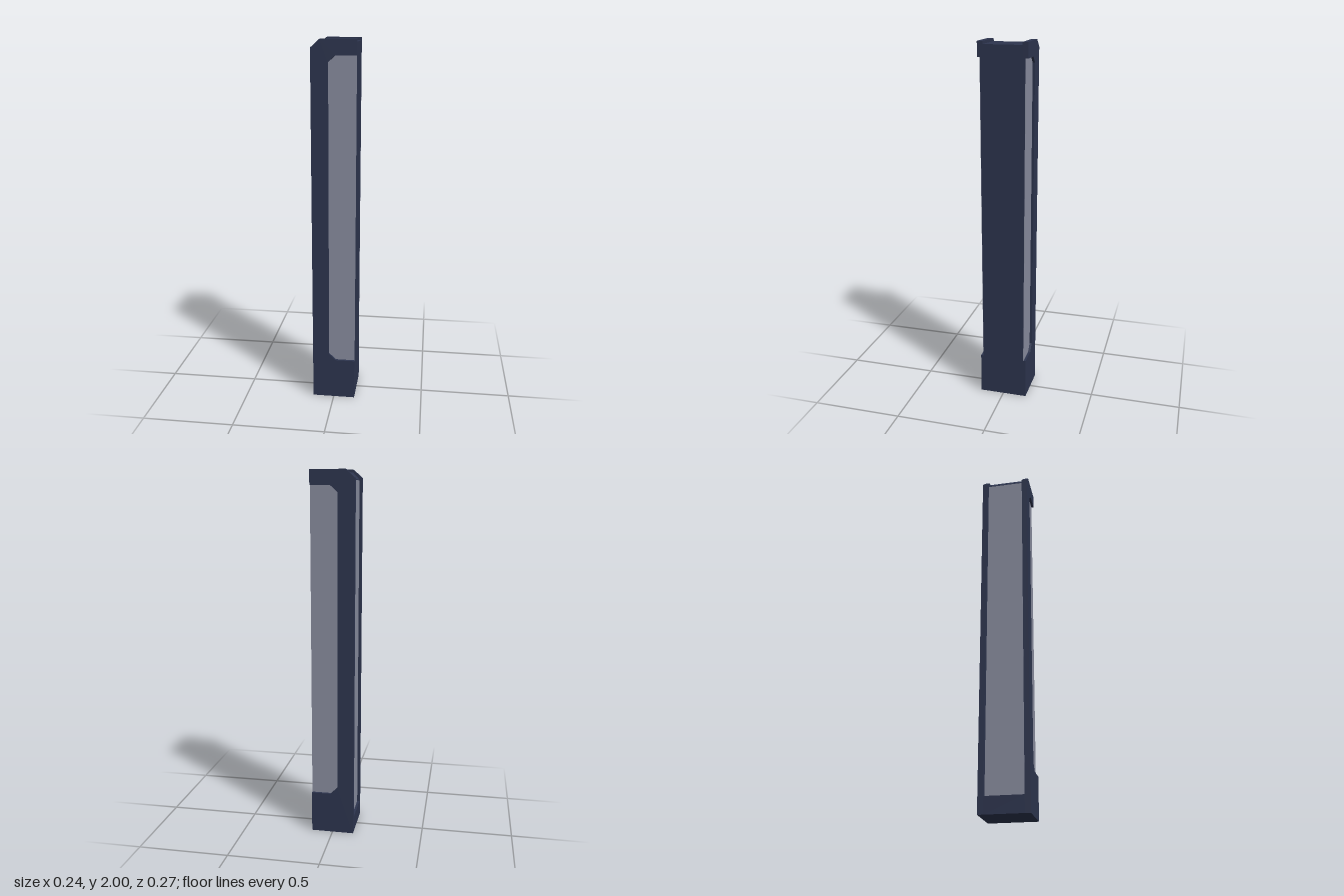
import * as THREE from 'three';

const X = 0.118; // half width
const Z = 0.133; // half depth
const INNER = 0.103; // inner face of the side plates
const GLASS = 0.12; // outer face of the windows

const navy = new THREE.MeshStandardMaterial({ color: 0x2d354f });
navy.name = 'navy metal';
const glass = new THREE.MeshStandardMaterial({ color: 0x898d9f });
glass.name = 'grey glass';

// Extrudes an x-y outline between two z positions
function slab(name, points, z0, z1, material) {
  const shape = new THREE.Shape(points.map(([x, y]) => new THREE.Vector2(x, y)));
  const geometry = new THREE.ExtrudeGeometry(shape, { depth: z1 - z0, bevelEnabled: false });
  geometry.translate(0, 0, z0);
  const mesh = new THREE.Mesh(geometry, material);
  mesh.name = name;
  return mesh;
}

// Window with clipped corners, open towards the +x edge
const windowOutline = [
  [X, 0.23], [X, 1.92], [0.01, 1.92], [-0.028, 1.885], [-0.028, 0.268], [0.01, 0.23],
];

// C-shaped plate around the window, with a clipped top corner
const plateOutline = [
  [-X, 0], [X, 0], [X, 0.23], [0.01, 0.23], [-0.028, 0.268], [-0.028, 1.885],
  [0.01, 1.92], [X, 1.92], [X, 2], [-0.07, 2], [-X, 1.957],
];

// Core between the plates: a foot, a recessed side and a sloped top edge
const coreOutline = [
  [-X, 0], [X, 0], [X, 1.985], [-0.07, 1.985], [-0.103, 1.95], [-0.103, 0.09], [-X, 0.09],
];

export function createModel() {
  const model = new THREE.Group();
  model.name = 'pillar';

  model.add(slab('core', coreOutline, -INNER, INNER, navy));

  // Front and back: plate, window backing and glass
  for (const [side, s] of [['front', 1], ['back', -1]]) {
    const add = (part, outline, near, far, material) =>
      model.add(slab(side + part, outline, Math.min(s * near, s * far), Math.max(s * near, s * far), material));
    add('Plate', plateOutline, INNER, Z, navy);
    add('WindowBacking', windowOutline, INNER, GLASS - 0.002, navy);
    add('Window', windowOutline, GLASS - 0.002, GLASS, glass);
  }

  // Tall recessed panel on the -x side
  const panel = new THREE.Mesh(new THREE.BoxGeometry(0.003, 1.855, 2 * INNER - 0.006), glass);
  panel.name = 'sidePanel';
  panel.position.set(-0.1035, 0.09 + 1.855 / 2, 0);
  model.add(panel);

  return model;
}
